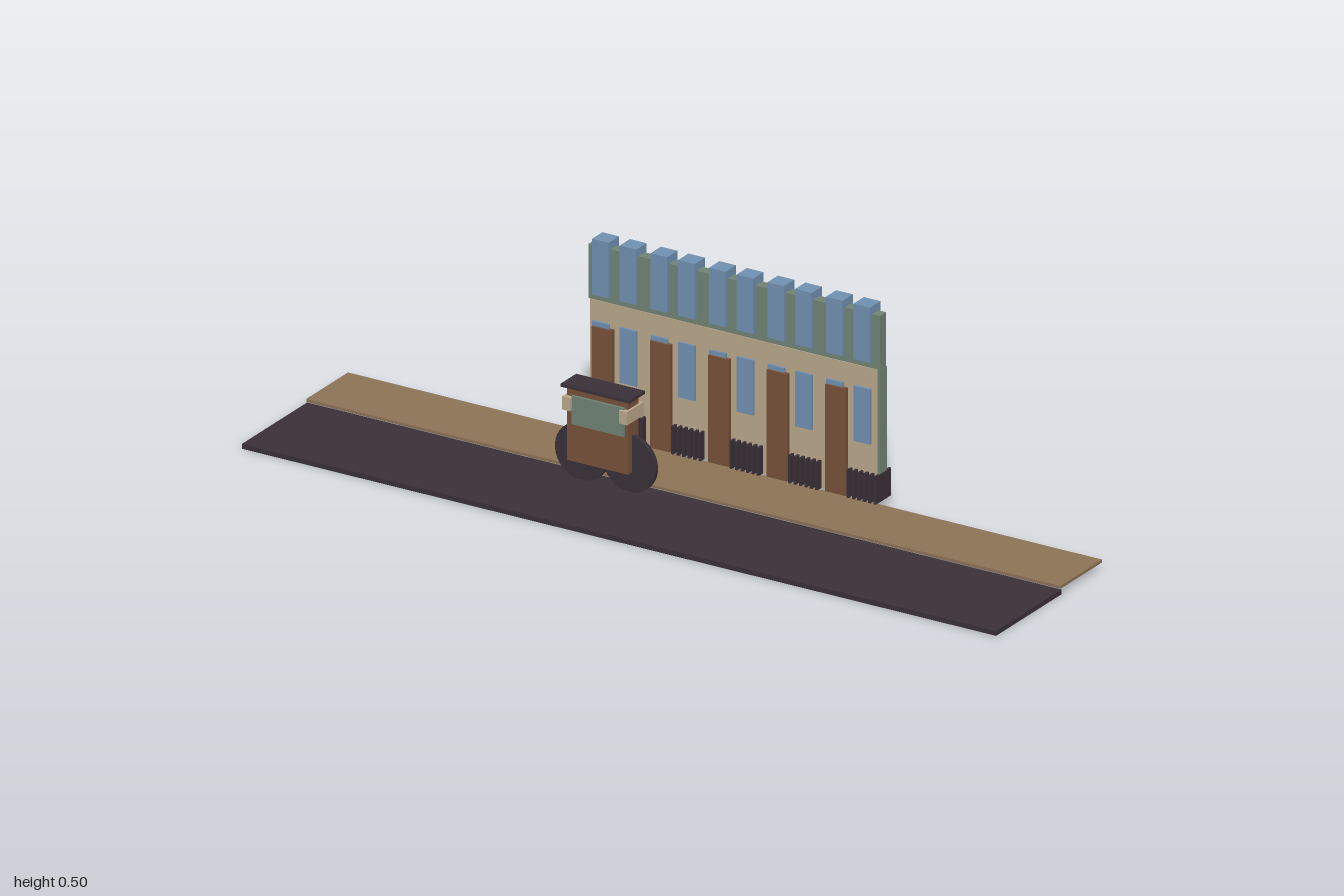
import * as THREE from 'three';

const mat = (name, color) => {
  const m = new THREE.MeshStandardMaterial({ color });
  m.name = name;
  return m;
};

export function createModel() {
  const root = new THREE.Group();
  const dark = mat('charcoal', 0x3a3038);
  const tan = mat('pavement tan', 0x8b7355);
  const beige = mat('wall beige', 0xb8a68a);
  const brown = mat('wood brown', 0x755038);
  const blue = mat('window blue', 0x7090b0);
  const green = mat('grey green', 0x708374);

  // Box given by its limits on each axis
  const box = (parent, name, m, x0, x1, y0, y1, z0, z1) => {
    const mesh = new THREE.Mesh(new THREE.BoxGeometry(x1 - x0, y1 - y0, z1 - z0), m);
    mesh.position.set((x0 + x1) / 2, (y0 + y1) / 2, (z0 + z1) / 2);
    mesh.name = name;
    parent.add(mesh);
  };
  const group = (name) => {
    const g = new THREE.Group();
    g.name = name;
    root.add(g);
    return g;
  };

  // Ground strips
  box(root, 'road', dark, -1, 1, 0, 0.012, -0.022, 0.255);
  box(root, 'pavement', tan, -1, 1, 0.015, 0.022, -0.195, -0.018);

  // Terrace: walls and green end slab
  const terrace = group('terrace');
  box(terrace, 'lowerWall', beige, -0.365, 0.398, 0.022, 0.345, -0.236, -0.205);
  box(terrace, 'upperStorey', green, -0.37, 0.403, 0.345, 0.477, -0.234, -0.207);
  box(terrace, 'endSlab', green, 0.398, 0.404, 0.022, 0.345, -0.236, -0.205);

  // Five repeated houses
  for (let i = 0; i < 5; i++) {
    const x = -0.327 + i * 0.155;
    box(terrace, 'door', brown, x - 0.027, x + 0.027, 0.022, 0.284, -0.248, -0.194);
    for (const dx of [-0.006, 0.067]) {
      const a = x + dx - 0.022, b = x + dx + 0.022;
      box(terrace, 'lowerWindow', blue, a, b, 0.16, 0.295, -0.243, -0.199);
      box(terrace, 'upperWindow', blue, a, b, 0.36, 0.496, -0.243, -0.199);
    }
    for (let k = 0; k < 6; k++) {
      const p = x + 0.036 + k * 0.0145;
      box(terrace, 'fenceBar', dark, p - 0.003, p + 0.003, 0.022, 0.09, -0.253, -0.188);
    }
  }

  // Carriage: body, roof, side windows and lamps
  const carriage = group('carriage');
  box(carriage, 'carriageBody', brown, -0.274, -0.112, 0.06, 0.241, -0.006, 0.038);
  box(carriage, 'carriageRoof', dark, -0.284, -0.101, 0.241, 0.248, -0.018, 0.049);
  box(carriage, 'carriageWindow', green, -0.258, -0.12, 0.153, 0.223, -0.012, 0.044);
  for (const x of [-0.268, -0.117]) {
    box(carriage, 'carriageLamp', beige, x - 0.011, x + 0.011, 0.187, 0.219, -0.02, 0.051);
  }

  // Two disc wheels under the body
  for (const x of [-0.246, -0.119]) {
    const wheel = new THREE.Mesh(new THREE.CylinderGeometry(0.07, 0.07, 0.011, 32), dark);
    wheel.rotation.x = Math.PI / 2;
    wheel.position.set(x, 0.08, 0.016);
    wheel.name = 'wheel';
    carriage.add(wheel);
  }
  return root;
}
